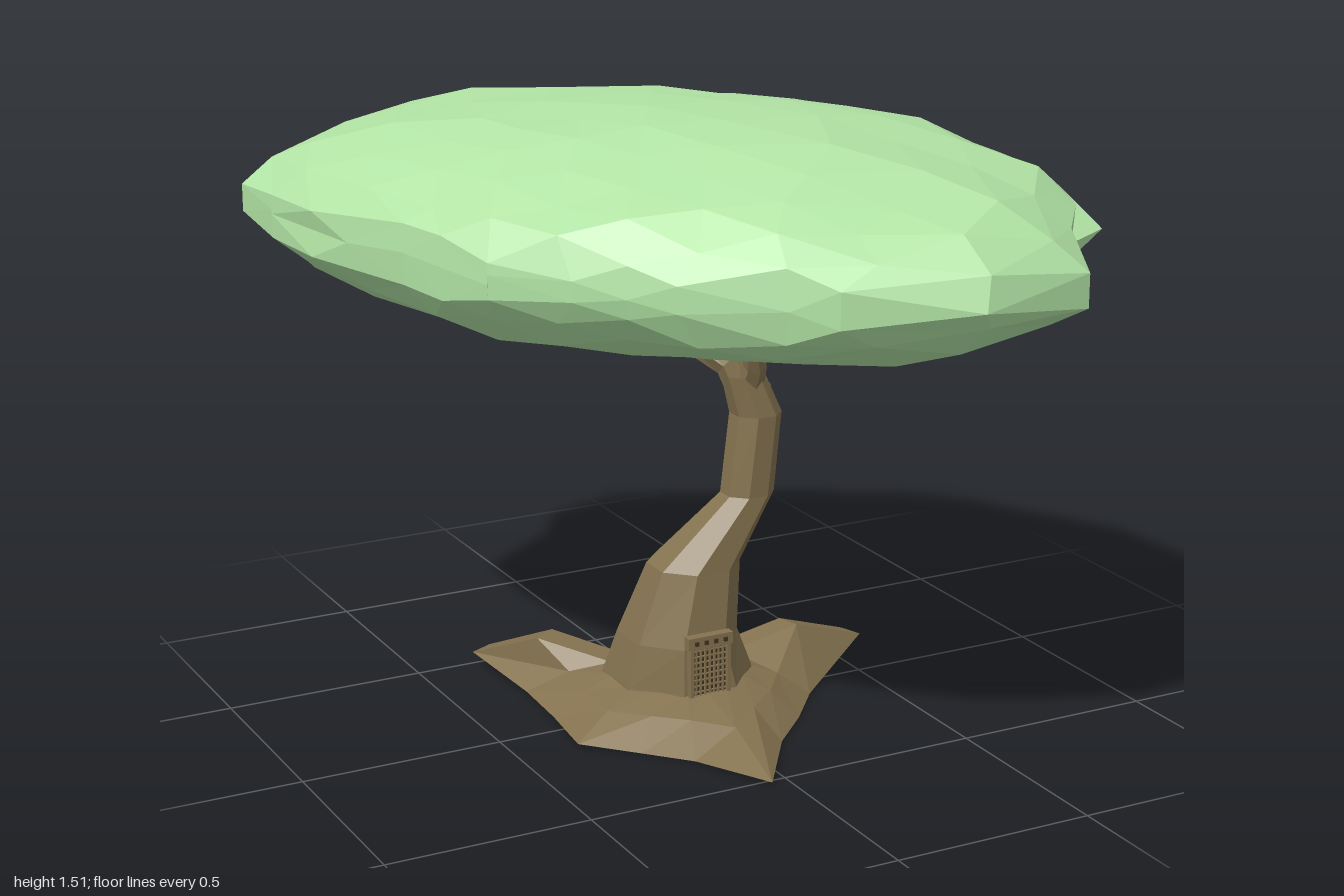
import * as THREE from 'three';

const bark = new THREE.MeshStandardMaterial({ color: 0x857350, flatShading: true, side: THREE.DoubleSide });
const darkWood = new THREE.MeshStandardMaterial({ color: 0x40341f, flatShading: true });
const leaf = new THREE.MeshStandardMaterial({ color: 0xb2e4a5, flatShading: true });

function named(name, geometry, material) {
  const mesh = new THREE.Mesh(geometry, material);
  mesh.name = name;
  return mesh;
}

// Skin closed rows of points, listed from the bottom row up
function skin(rows) {
  const n = rows[0].length;
  const index = [];
  for (let r = 0; r < rows.length - 1; r++) {
    for (let i = 0; i < n; i++) {
      const a = r * n + i, b = r * n + (i + 1) % n;
      index.push(a, a + n, b, b, a + n, b + n);
    }
  }
  const geometry = new THREE.BufferGeometry();
  geometry.setAttribute('position', new THREE.Float32BufferAttribute(rows.flat(2), 3));
  geometry.setIndex(index);
  geometry.computeVertexNormals();
  return geometry;
}

// Level elliptical ring
const ring = ([x, y, z, rx, rz], sides) => Array.from({ length: sides }, (_, i) => {
  const a = ((i + 0.5) / sides) * Math.PI * 2;
  return [x + rx * Math.cos(a), y, z + rz * Math.sin(a)];
});

// Tapering limb whose rings turn with its path; each stop is [x, y, z, radius]
function limb(stops, sides) {
  const p = stops.map(s => new THREE.Vector3(s[0], s[1], s[2]));
  const rows = p.map((c, k) => {
    const t = p[Math.min(k + 1, p.length - 1)].clone().sub(p[Math.max(k - 1, 0)]).normalize();
    const u = new THREE.Vector3(1, 0, 0).addScaledVector(t, -t.x).normalize();
    const v = u.clone().cross(t);
    return Array.from({ length: sides }, (_, i) => {
      const a = ((i + 0.5) / sides) * Math.PI * 2;
      return c.clone().addScaledVector(u, stops[k][3] * Math.cos(a))
        .addScaledVector(v, stops[k][3] * Math.sin(a)).toArray();
    });
  });
  rows.push(rows[0].map(() => p[p.length - 1].toArray())); // closed tip
  return skin(rows);
}

// Root skirt: three long blunt roots with raised knuckles, open underneath
function rootSkirt() {
  const outer = [
    [0.58, 0.04, -0.13], [0.31, 0, 0.08], [0.21, 0, 0.2], [0.1, 0, 0.31],
    [-0.05, 0.01, 0.53], [-0.14, 0, 0.32], [-0.23, 0, 0.22], [-0.35, 0.01, 0.12],
    [-0.32, 0, -0.08], [-0.31, 0, -0.26], [-0.35, 0.03, -0.5], [-0.29, 0.03, -0.53],
    [-0.15, 0, -0.38], [0, 0, -0.3], [0.18, 0, -0.26], [0.32, 0, -0.23], [0.56, 0.04, -0.19],
  ];
  const knuckles = {
    0: [0.35, 0.13, -0.06], 4: [-0.02, 0.055, 0.3], 10: [-0.26, 0.12, -0.3],
    11: [-0.2, 0.12, -0.34], 16: [0.34, 0.125, -0.13],
  };
  const inner = outer.map(([x, , z]) => {
    const a = Math.atan2(z + 0.035, x);
    return [0.165 * Math.cos(a), 0.09, -0.035 + 0.17 * Math.sin(a)];
  });
  const mid = outer.map(([x, , z], i) =>
    knuckles[i] || [(x + inner[i][0]) / 2, 0.06, (z + inner[i][2]) / 2]);
  return skin([outer, mid, inner]);
}

// Canopy: faceted ball whose plan follows a lopsided outline
function canopyGeometry() {
  const outline = [
    [-0.87, -0.42], [-0.87, -0.62], [-0.62, -0.8], [-0.54, -0.93], [-0.33, -1], [-0.17, -0.9],
    [0.12, -0.81], [0.43, -0.59], [0.6, -0.42], [0.77, -0.15], [0.87, 0.13], [0.83, 0.35],
    [0.8, 0.55], [0.63, 0.67], [0.49, 0.94], [0.19, 1], [-0.09, 0.87], [-0.35, 0.63],
    [-0.52, 0.47], [-0.65, 0.32], [-0.75, 0.08], [-0.85, -0.23],
  ];
  // Distance from the centre to the outline in the direction (dx, dz)
  const reach = (dx, dz) => {
    for (let i = 0; i < outline.length; i++) {
      const [ax, az] = outline[i], [bx, bz] = outline[(i + 1) % outline.length];
      const ex = bx - ax, ez = bz - az;
      const det = dx * ez - dz * ex;
      if (Math.abs(det) < 1e-9) continue;
      const d = (ax * ez - az * ex) / det;
      const s = (ax * dz - az * dx) / det;
      if (d > 0 && s >= -1e-6 && s <= 1 + 1e-6) return d;
    }
    return 0.9;
  };
  // Repeatable bumpiness so that corners in one place move together
  const bump = (v) => {
    const q = Math.sin(Math.round(v.x * 500) * 12.99 + Math.round(v.y * 500) * 78.23
      + Math.round(v.z * 500) * 37.72 + 15.3) * 43758.55;
    return q - Math.floor(q) - 0.5;
  };
  const geometry = new THREE.IcosahedronGeometry(1, 4);
  const pos = geometry.attributes.position;
  const v = new THREE.Vector3();
  for (let i = 0; i < pos.count; i++) {
    v.fromBufferAttribute(pos, i);
    const h = Math.hypot(v.x, v.z);
    let dx = h < 1e-4 ? 1 : v.x / h, dz = h < 1e-4 ? 0 : v.z / h;
    // Rim corners slide onto the nearest corner of the outline
    if (h > 0.97) {
      for (const [x, z] of outline) {
        const d = Math.hypot(x, z);
        if (dx * x / d + dz * z / d > 0.994) {
          dx = x / d;
          dz = z / d;
          break;
        }
      }
    }
    const r = reach(dx, dz) * Math.min(1, h * 1.015);
    // The left side is a little deeper, and the back rim rides higher
    const y = 1.235 + v.y * 0.27 * (1 - 0.1 * v.x * h) + 0.035 * h * bump(v) - 0.02 * v.z * h;
    pos.setXYZ(i, dx * r, y, dz * r);
  }
  geometry.computeVertexNormals();
  return geometry;
}

// Barred door under a studded lintel
function door() {
  const group = new THREE.Group();
  group.name = 'door';
  const add = (name, w, h, d, x, y, z, material) => {
    const mesh = named(name, new THREE.BoxGeometry(w, h, d), material);
    mesh.position.set(x, y, z);
    group.add(mesh);
  };
  add('doorPanel', 0.1, 0.14, 0.03, 0, 0.07, -0.015, darkWood);
  for (const side of [-1, 1]) add('doorPost', 0.01, 0.14, 0.02, side * 0.05, 0.07, 0, bark);
  for (let i = -3; i <= 3; i++) add('doorBar', 0.004, 0.13, 0.005, i * 0.012, 0.065, 0.003, bark);
  for (let i = 0; i < 8; i++) add('doorCrossbar', 0.09, 0.003, 0.005, 0, 0.01 + i * 0.015, 0.003, bark);
  add('doorLintel', 0.12, 0.03, 0.025, 0, 0.137, -0.002, bark);
  for (let i = 0; i < 4; i++) add('lintelStud', 0.01, 0.01, 0.006, (i - 1.5) * 0.026, 0.137, 0.012, darkWood);
  group.position.set(-0.01, 0.085, 0.145);
  return group;
}

export function createModel() {
  const tree = new THREE.Group();
  tree.name = 'tree';

  const trunk = [
    [-0.005, 0.03, -0.035, 0.19, 0.19], [-0.003, 0.09, -0.035, 0.183, 0.188],
    [-0.015, 0.2, -0.013, 0.145, 0.158], [0.015, 0.38, 0.015, 0.114, 0.114],
    [0.142, 0.55, 0.053, 0.066, 0.063], [0.16, 0.75, 0.06, 0.063, 0.065],
    [0.125, 0.85, 0.06, 0.053, 0.052],
  ];
  tree.add(named('trunk', skin(trunk.map(s => ring(s, 8))), bark));
  tree.add(named('roots', rootSkirt(), bark));
  tree.add(named('mainBranch', limb([
    [0.15, 0.79, 0.06, 0.053], [0.11, 0.88, 0.03, 0.048],
    [0.04, 0.925, -0.05, 0.04], [-0.04, 0.965, -0.11, 0.034],
  ], 8), bark));
  tree.add(named('sideBranch', limb([
    [0.135, 0.82, 0.07, 0.036], [0.13, 0.88, 0.11, 0.029], [0.095, 0.985, 0.16, 0.014],
  ], 6), bark));
  tree.add(door());
  tree.add(named('canopy', canopyGeometry(), leaf));
  return tree;
}
